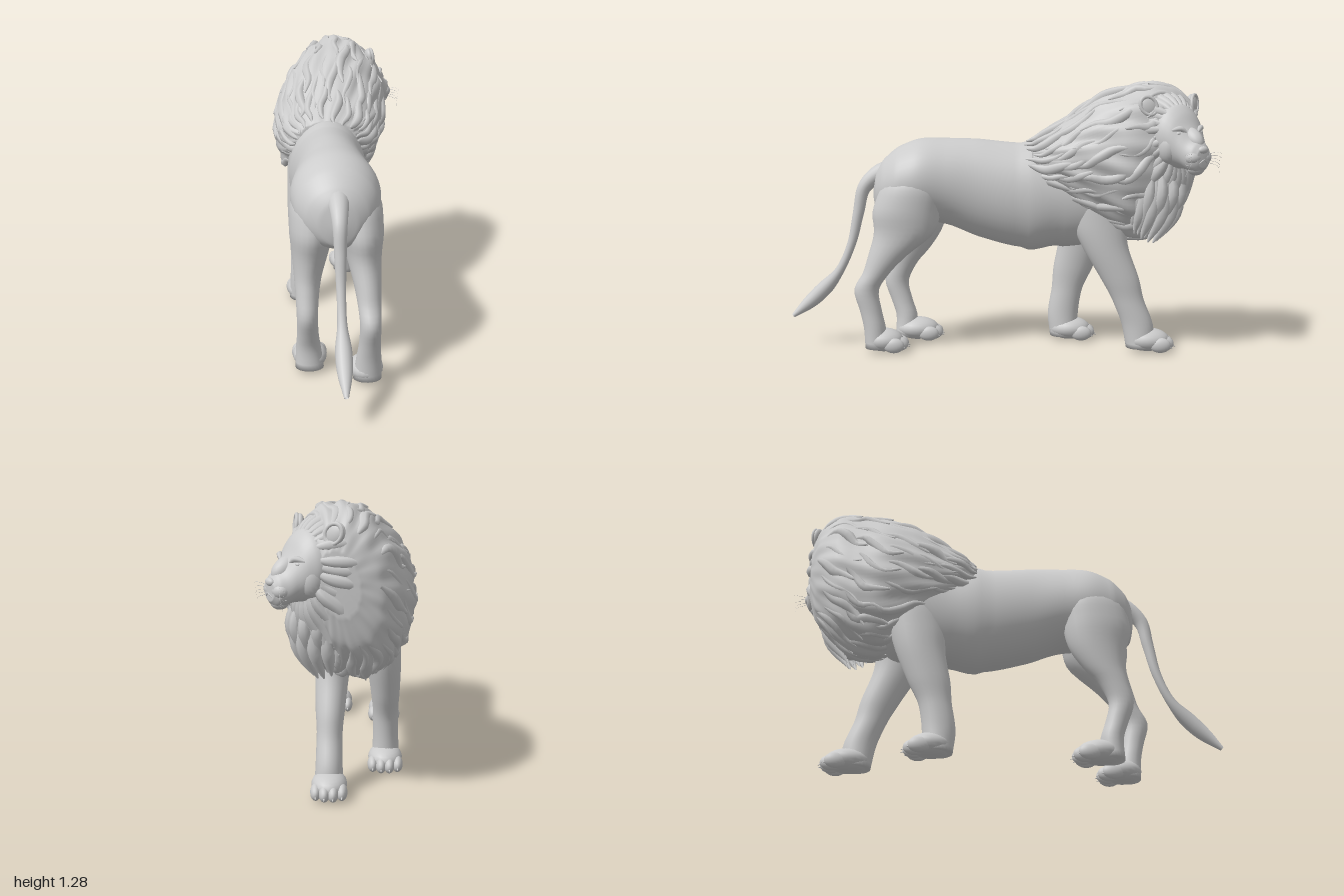
import * as THREE from 'three';

const grey = new THREE.MeshStandardMaterial({ color: 0xcccccc, side: THREE.DoubleSide });
const V = (x, y, z) => new THREE.Vector3(x, y, z);
const AXIS = -0.085; // the body's centre line in x

function add(parent, name, geometry) {
  const mesh = new THREE.Mesh(geometry, grey);
  mesh.name = name;
  parent.add(mesh);
  return mesh;
}

function ball(parent, name, x, y, z, rx, ry, rz) {
  const mesh = add(parent, name, new THREE.SphereGeometry(1, 20, 14));
  mesh.position.set(x, y, z);
  mesh.scale.set(rx, ry, rz);
  return mesh;
}

// Smooth sampler through elliptical sections [x, y, z, radiusX, otherRadius]
function sampler(sections, upright, ripple = () => 1) {
  const centres = new THREE.CatmullRomCurve3(sections.map(s => V(s[0], s[1], s[2])));
  const radii = new THREE.CatmullRomCurve3(sections.map(s => V(s[3], s[4], 0)));
  return (t, a) => {
    const p = centres.getPoint(t), r = radii.getPoint(t), k = ripple(t, a);
    const u = Math.max(r.x, 0.002) * k * Math.cos(a), v = Math.max(r.y, 0.002) * k * Math.sin(a);
    return upright ? p.add(V(u, 0, v)) : p.add(V(u, v, 0));
  };
}

// Closed skin over a sampler; horizontal lofts run +z, upright ones run downward
function skin(sample, rows = 40, cols = 32) {
  const pos = [], index = [];
  for (let i = 0; i <= rows; i++)
    for (let j = 0; j < cols; j++) pos.push(...sample(i / rows, j / cols * Math.PI * 2).toArray());
  for (let i = 0; i < rows; i++)
    for (let j = 0; j < cols; j++) {
      const a = i * cols + j, b = i * cols + (j + 1) % cols;
      index.push(a, b, a + cols, b, b + cols, a + cols);
    }
  for (const row of [0, rows]) { // end caps
    const mid = V(0, 0, 0), c = pos.length / 3;
    for (let j = 0; j < cols; j++) mid.add(sample(row / rows, j / cols * Math.PI * 2));
    pos.push(...mid.divideScalar(cols).toArray());
    for (let j = 0; j < cols; j++) {
      const a = row * cols + j, b = row * cols + (j + 1) % cols;
      if (row) index.push(a, b, c); else index.push(b, a, c);
    }
  }
  const g = new THREE.BufferGeometry();
  g.setAttribute('position', new THREE.Float32BufferAttribute(pos, 3));
  g.setIndex(index);
  g.computeVertexNormals();
  return g;
}

// Tube along points whose radius follows a function of t
function taper(points, radius, segments = 12, sides = 8) {
  const path = new THREE.CatmullRomCurve3(points);
  const g = new THREE.TubeGeometry(path, segments, 1, sides);
  const p = g.attributes.position, v = V(0, 0, 0);
  for (let i = 0; i < p.count; i++) {
    const t = Math.floor(i / (sides + 1)) / segments, c = path.getPointAt(t);
    v.fromBufferAttribute(p, i).sub(c).multiplyScalar(radius(t)).add(c);
    p.setXYZ(i, v.x, v.y, v.z);
  }
  return g;
}
const lockRadius = r => t => r * Math.pow(Math.sin(Math.PI * (0.08 + 0.9 * t)), 0.8) + 0.001;

function leg(parent, name, sections, pawX, pawZ, pawLength) {
  const g = new THREE.Group();
  g.name = name;
  parent.add(g);
  add(g, 'limb', skin(sampler(sections, true), 36, 24));
  ball(g, 'paw', pawX, 0.056, pawZ, 0.077, 0.055, pawLength);
  for (let i = 0; i < 4; i++) {
    const s = i - 1.5, z = pawZ - pawLength * (0.74 - 0.09 * s * s);
    ball(g, 'toe', pawX + s * 0.037, 0.039, z, 0.024, 0.036, 0.05);
    const claw = add(g, 'claw', new THREE.ConeGeometry(0.006, 0.022, 8));
    claw.position.set(pawX + s * 0.037, 0.028, z - 0.05);
    claw.rotation.x = -2;
  }
}

function buildHead(parent) {
  const head = new THREE.Group();
  head.name = 'head';
  head.position.set(0.085, 1.03, -0.785);
  head.rotation.y = 2.18;
  parent.add(head);
  add(head, 'skull', skin(sampler([
    [0, 0.01, -0.12, 0.11, 0.13], [0, 0.01, -0.02, 0.135, 0.152], [0, 0, 0.06, 0.13, 0.147],
    [0, -0.016, 0.1, 0.112, 0.128], [0, -0.046, 0.135, 0.09, 0.1], [0, -0.076, 0.17, 0.073, 0.08],
    [0, -0.085, 0.2, 0.06, 0.067], [0, -0.086, 0.22, 0.036, 0.042]], false)));
  ball(head, 'noseBridge', 0, -0.004, 0.145, 0.04, 0.045, 0.068).rotation.x = 0.55;
  ball(head, 'nose', 0, -0.05, 0.216, 0.027, 0.017, 0.016);
  ball(head, 'chin', 0, -0.136, 0.172, 0.042, 0.032, 0.038);
  add(head, 'mouth', taper([V(-0.06, -0.12, 0.176), V(-0.027, -0.113, 0.215), V(0, -0.094, 0.226),
    V(0.027, -0.113, 0.215), V(0.06, -0.12, 0.176)], () => 0.003, 20, 6));
  for (const s of [-1, 1]) {
    ball(head, 'muzzlePad', s * 0.03, -0.085, 0.183, 0.041, 0.035, 0.039);
    ball(head, 'cheek', s * 0.078, -0.045, 0.068, 0.048, 0.075, 0.054);
    ball(head, 'eye', s * 0.064, 0.02, 0.126, 0.015, 0.01, 0.011);
    add(head, 'brow', taper([V(s * 0.035, 0.026, 0.144), V(s * 0.06, 0.042, 0.134), V(s * 0.094, 0.034, 0.108)],
      lockRadius(0.012)));
    // Ears: cupped shells with a raised rim
    const ear = new THREE.Group();
    ear.name = 'ear';
    ear.position.set(s * 0.142, 0.142, 0.008);
    ear.rotation.set(-0.15, s * 0.45, -s * 0.55);
    head.add(ear);
    ball(ear, 'earShell', 0, 0, -0.014, 0.042, 0.05, 0.022);
    add(ear, 'earRim', new THREE.TorusGeometry(0.036, 0.008, 8, 24)).scale.y = 1.2;
    // Whiskers
    for (let i = 0; i < 5; i++)
      add(head, 'whisker', taper([V(s * 0.05, -0.07 - i * 0.01, 0.2),
        V(s * 0.09, -0.065 - i * 0.016, 0.222), V(s * (0.13 - i * 0.006), -0.075 - i * 0.022, 0.215)],
        t => 0.001 * (1.1 - t), 6, 4));
  }
  // Ruff framing the face: short on the brow, long towards the beard
  for (let i = 0; i < 30; i++) {
    const a = i / 30 * Math.PI * 2, c = Math.cos(a), s = Math.sin(a), low = Math.max(0, -s);
    const w = 0.95 + 0.1 * Math.sin(i * 2.4);
    add(head, 'ruffLock', taper([V(c * 0.105, 0.01 + s * 0.125, 0.06),
      V(c * 0.145 * w, s * (0.16 + low * 0.035), 0.02 + low * 0.04),
      V(c * 0.18 * w, s * (0.19 + low * 0.095) - 0.01, -0.04 + low * 0.055),
      V(c * 0.19 * w, s * (0.21 + low * 0.165) - 0.03, -0.11 + low * 0.09)], lockRadius(0.025 + low * 0.009)));
  }
}

function buildMane(parent) {
  const mane = new THREE.Group();
  mane.name = 'mane';
  parent.add(mane);
  const ripple = (t, a) => 1 + 0.02 * Math.sin(13 * a + 5 * Math.sin(5 * t)) + 0.012 * Math.sin(23 * a - 9 * t);
  const upright = sampler([
    [-0.02, 0.97, -0.92, 0.08, 0.13], [-0.045, 0.95, -0.885, 0.145, 0.245], [-0.06, 0.93, -0.8, 0.2, 0.325],
    [-0.045, 0.9, -0.7, 0.245, 0.37], [-0.045, 0.888, -0.6, 0.275, 0.365], [-0.06, 0.9, -0.45, 0.265, 0.3],
    [-0.07, 0.9, -0.32, 0.235, 0.205], [-0.08, 0.905, -0.22, 0.195, 0.13], [-0.085, 0.915, -0.15, 0.13, 0.068]],
    false, ripple);
  // The turned head carries the crown to the left
  const sample = (t, a) => {
    const p = upright(t, a);
    p.x += 0.13 * (p.y - 0.9) * (1 - t * t);
    return p;
  };
  add(mane, 'maneBody', skin(sample, 60, 144));
  ball(mane, 'chestHair', 0.06, 0.77, -0.72, 0.125, 0.2, 0.125);
  // Locks swept back and down, half sunk in the surface, with free tips at the ragged hem
  [0.16, 0.32, 0.48, 0.62, 0.74].forEach((t0, row) => {
    for (let i = 0; i < 22; i++) {
      const a = (i + row * 0.5) / 22 * Math.PI * 2, pts = [];
      for (let k = 0; k < 5; k++) {
        const t = Math.min(1, t0 + 0.06 * k + 0.03 * Math.sin(i * 5 + row));
        const b = a - Math.cos(a) * 0.08 * k + 0.06 * Math.sin(k * 1.6 + i);
        const p = sample(t, b), hub = V(-0.06, 0.88, p.z);
        p.add(p.clone().sub(hub).setLength(k === 4 ? 0.004 : -0.011));
        if (row === 4) p.z += 0.009 * k * (1 + Math.sin(i * 7)) / 2;
        pts.push(p);
      }
      add(mane, 'maneLock', taper(pts, lockRadius(0.019 + 0.006 * Math.sin(i * 3 + row)), 12, 7));
    }
  });
  // Beard locks hanging in an arc around the chest, meeting in a point below
  for (let i = 0; i < 17; i++) {
    const u = (i - 8) / 8, a = u * 1.7 + 0.8, wave = 0.012 * Math.sin(i * 3);
    const hang = (r, y, back) => V(0.06 + r * Math.cos(a) - 0.5 * back, y, -0.72 - r * Math.sin(a) + back);
    add(mane, 'beardLock', taper([hang(0.1, 0.89, 0), hang(0.125 + wave, 0.77, 0.005),
      hang(0.115 - wave, 0.67, 0.025), hang(0.075, 0.54 + 0.07 * u * u + wave, 0.06)],
      lockRadius(0.03)));
  }
}

export function createModel() {
  const lion = new THREE.Group();
  lion.name = 'lion';

  add(lion, 'torso', skin(sampler([
    [AXIS, 0.8, -0.66, 0.1, 0.15], [AXIS, 0.77, -0.5, 0.18, 0.26], [AXIS, 0.735, -0.3, 0.18, 0.25],
    [AXIS, 0.733, -0.1, 0.18, 0.25], [AXIS, 0.768, 0.1, 0.174, 0.234], [AXIS, 0.8, 0.25, 0.183, 0.206],
    [AXIS, 0.808, 0.38, 0.2, 0.195], [AXIS, 0.785, 0.48, 0.185, 0.18], [AXIS, 0.765, 0.55, 0.14, 0.14],
    [AXIS, 0.75, 0.585, 0.085, 0.1], [AXIS, 0.74, 0.6, 0.02, 0.03]], false), 60, 40));

  // Hind legs: left one trailing, right one stepping forward
  leg(lion, 'leftHindLeg', [
    [-0.02, 0.9, 0.39, 0.03, 0.06], [0.0, 0.85, 0.395, 0.085, 0.12], [0.016, 0.77, 0.41, 0.103, 0.155],
    [0.024, 0.67, 0.438, 0.099, 0.159], [0.032, 0.57, 0.45, 0.081, 0.142], [0.043, 0.46, 0.53, 0.062, 0.09],
    [0.048, 0.38, 0.582, 0.052, 0.063], [0.05, 0.3, 0.628, 0.047, 0.058], [0.048, 0.2, 0.61, 0.048, 0.052],
    [0.045, 0.12, 0.593, 0.056, 0.052], [0.04, 0.02, 0.585, 0.064, 0.054]], 0.036, 0.55, 0.092);
  const rx = x => 2 * AXIS - x;
  leg(lion, 'rightHindLeg', [
    [rx(-0.02), 0.9, 0.38, 0.03, 0.06], [rx(0), 0.85, 0.385, 0.085, 0.12], [rx(0.016), 0.77, 0.395, 0.103, 0.155],
    [rx(0.024), 0.67, 0.41, 0.099, 0.158], [rx(0.032), 0.56, 0.41, 0.081, 0.132], [rx(0.043), 0.46, 0.435, 0.062, 0.095],
    [rx(0.048), 0.38, 0.475, 0.052, 0.068], [rx(0.05), 0.29, 0.505, 0.047, 0.057], [rx(0.048), 0.2, 0.482, 0.048, 0.052],
    [rx(0.045), 0.12, 0.458, 0.056, 0.052], [rx(0.04), 0.02, 0.46, 0.064, 0.054]], rx(0.036), 0.405, 0.105);

  // Front legs: left one reaching forward, right one under the chest
  leg(lion, 'leftFrontLeg', [
    [-0.01, 0.84, -0.45, 0.05, 0.08], [0.01, 0.72, -0.46, 0.085, 0.13], [0.02, 0.6, -0.47, 0.082, 0.125],
    [0.028, 0.5, -0.497, 0.075, 0.108], [0.035, 0.35, -0.567, 0.064, 0.09], [0.037, 0.24, -0.61, 0.056, 0.074],
    [0.038, 0.13, -0.652, 0.058, 0.074], [0.038, 0.02, -0.665, 0.064, 0.066]], 0.036, -0.7, 0.105);
  leg(lion, 'rightFrontLeg', [
    [rx(-0.01), 0.84, -0.44, 0.05, 0.08], [rx(0.01), 0.72, -0.43, 0.085, 0.13], [rx(0.02), 0.6, -0.415, 0.082, 0.125],
    [rx(0.028), 0.5, -0.4, 0.075, 0.112], [rx(0.035), 0.36, -0.36, 0.064, 0.096], [rx(0.037), 0.24, -0.328, 0.056, 0.074],
    [rx(0.038), 0.13, -0.312, 0.058, 0.074], [rx(0.038), 0.02, -0.315, 0.064, 0.066]], rx(0.036), -0.345, 0.1);

  // Tail flowing from the rump and ending in a tuft
  const thickness = new THREE.CatmullRomCurve3([0.07, 0.046, 0.032, 0.027, 0.023, 0.02, 0.022, 0.036, 0.032, 0.01]
    .map((r, i) => V(i, r, 0)));
  add(lion, 'tail', taper([V(AXIS, 0.85, 0.47), V(AXIS, 0.835, 0.57), V(AXIS, 0.77, 0.645), V(AXIS, 0.65, 0.675),
    V(AXIS, 0.5, 0.71), V(AXIS, 0.36, 0.775), V(AXIS, 0.25, 0.875), V(AXIS, 0.18, 0.955), V(AXIS, 0.145, 0.997)],
    t => thickness.getPoint(t).y, 48, 16));

  buildMane(lion);
  buildHead(lion);
  return lion;
}
